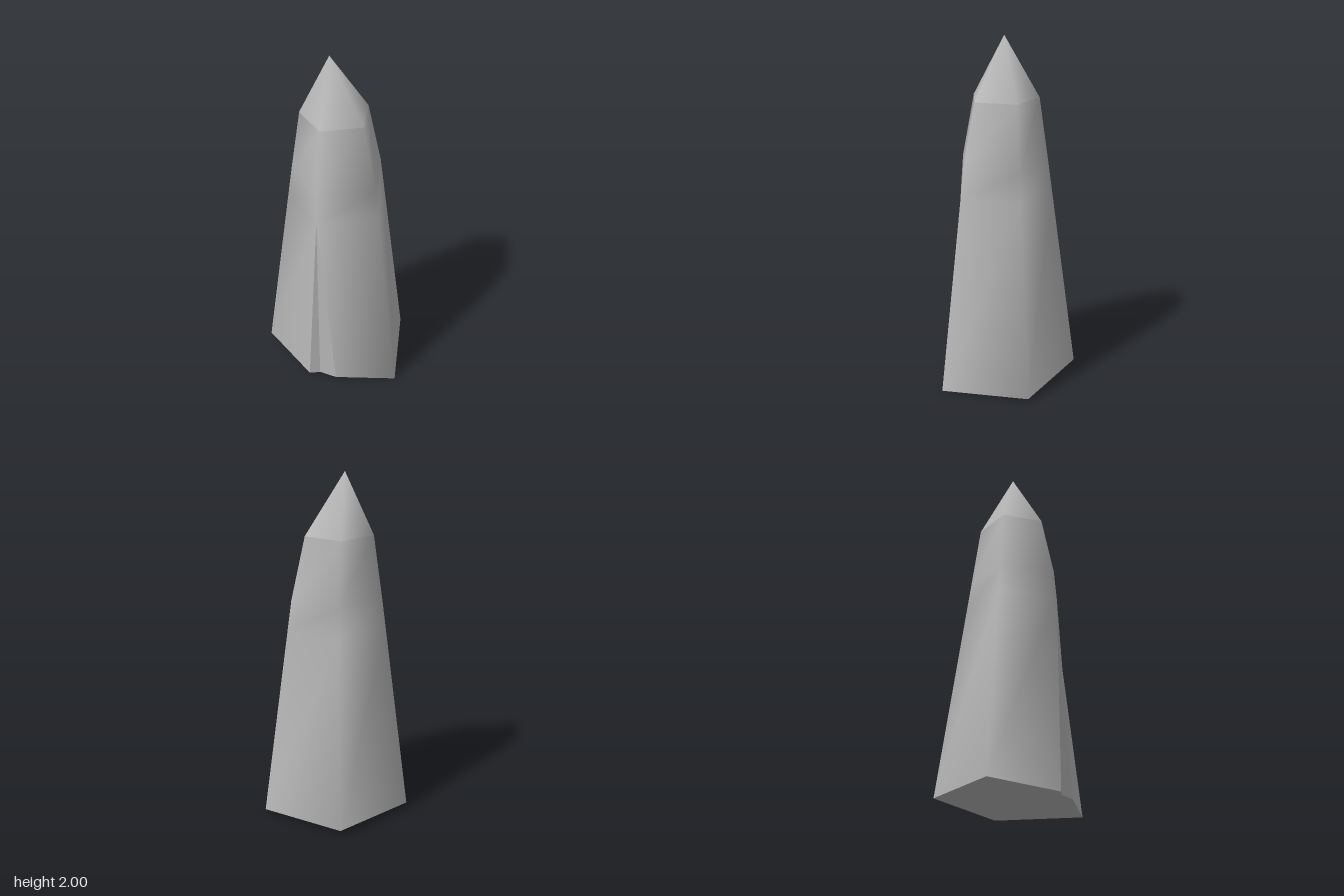
import * as THREE from 'three';
import { mergeVertices } from 'three/addons/utils/BufferGeometryUtils.js';

// Corners run back, right, front, front-left (doubled for the notch), left.
const base = [[0.04, 0.04, -0.415], [0.415, 0.02, -0.05], [0.195, 0, 0.412],
  [-0.142, 0.01, 0.296], [-0.282, 0.01, 0.212], [-0.418, 0.037, -0.178]];
const middle = [[0.012, 1.3, -0.242], [0.237, 1.3, -0.03], [0.1, 1.3, 0.255],
  [-0.218, 1.3, 0.21], [-0.218, 1.3, 0.21], [-0.265, 1.3, -0.1]];
const shoulder = [[-0.008, 1.66, -0.193], [0.158, 1.66, -0.032], [0.057, 1.66, 0.182],
  [-0.176, 1.66, 0.15], [-0.176, 1.66, 0.15], [-0.216, 1.66, -0.082]];
const apex = [-0.07, 2, -0.005];
const notchTop = [-0.225, 1.13, 0.222];
const notchInner = [-0.22, 0.01, 0.225];

// Smooth normals inside one part, hard edges between parts
function surface(triangles, smooth = true) {
  let geometry = new THREE.BufferGeometry();
  geometry.setAttribute('position', new THREE.Float32BufferAttribute(triangles.flat(2), 3));
  if (smooth) geometry = mergeVertices(geometry);
  geometry.computeVertexNormals();
  return geometry;
}

export function createModel() {
  const group = new THREE.Group();
  const stone = new THREE.MeshStandardMaterial({ color: 0xb8b8b8 });
  stone.name = 'grey stone';
  const add = (name, geometry) => {
    const mesh = new THREE.Mesh(geometry, stone);
    mesh.name = name;
    group.add(mesh);
  };

  // Ring level with the top of the notch
  const waist = base.map((p, i) => (i === 3 || i === 4) ? notchTop
    : p.map((v, k) => THREE.MathUtils.lerp(v, middle[i][k], 0.87)));

  // Five tapering sides; the gap between corners 3 and 4 is the notch
  const rings = [base, waist, middle, shoulder];
  const sides = [];
  const tip = [];
  for (let i = 0; i < 6; i++) {
    if (i === 3) continue;
    const j = (i + 1) % 6;
    for (let r = 0; r < 3; r++) {
      const low = rings[r], up = rings[r + 1];
      sides.push([low[j], low[i], up[i]], [low[j], up[i], up[j]]);
    }
    tip.push([shoulder[j], shoulder[i], apex]);
  }
  add('shaft', surface(sides));
  add('tip', surface(tip));

  // Two walls of the narrow notch
  add('notch', surface([
    [notchInner, base[3], notchTop],
    [base[4], notchInner, notchTop],
  ], false));

  // Flat underside, fanned from the inner notch corner
  const bottom = [];
  for (let i = 0; i < 6; i++) {
    if (i !== 3) bottom.push([notchInner, base[i], base[(i + 1) % 6]]);
  }
  add('underside', surface(bottom, false));
  return group;
}
